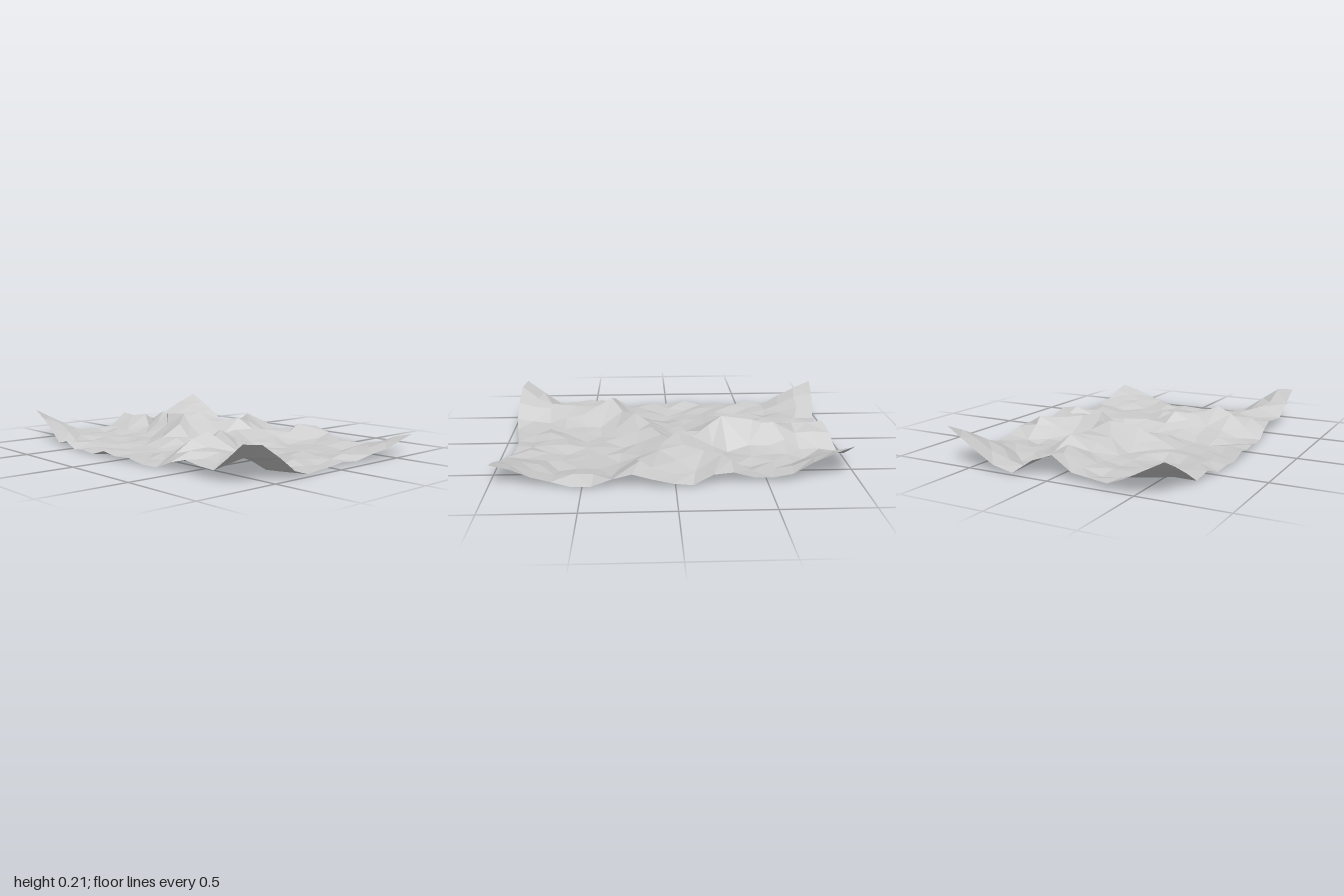
import * as THREE from 'three';

const NX = 12, NZ = 18;

// Crests as polylines: falloff width, then [x, z, height] points
const crests = [
  // main diagonal crest, front left to right edge
  [0.17, [-0.66, 0.55, 0.09], [-0.57, 0.45, 0.11], [-0.47, 0.35, 0.15], [-0.37, 0.37, 0.185], [-0.26, 0.3, 0.13],
    [-0.14, 0.22, 0.155], [0, 0.12, 0.11], [0.14, 0.06, 0.11], [0.28, 0.07, 0.1], [0.45, 0.1, 0.09],
    [0.58, 0.19, 0.12], [0.7, 0.24, 0.1]],
  // spur from the main crest to the front
  [0.17, [-0.37, 0.37, 0.185], [-0.36, 0.48, 0.15], [-0.45, 0.62, 0.11], [-0.5, 0.78, 0.11], [-0.55, 0.97, 0.17]],
  // back crest, running forward
  [0.18, [0.04, -0.94, 0.16], [0.04, -0.74, 0.14], [0.1, -0.62, 0.165], [0.05, -0.5, 0.165], [0.03, -0.31, 0.185],
    [-0.1, -0.2, 0.14], [-0.22, -0.08, 0.08]],
  // second crest, branching to the right
  [0.16, [0.03, -0.31, 0.185], [0.14, -0.17, 0.13], [0.25, -0.03, 0.165], [0.37, -0.06, 0.13], [0.47, -0.17, 0.13],
    [0.56, -0.26, 0.145], [0.7, -0.25, 0.1]],
  // raised corners
  [0.27, [-0.69, 0.97, 0.23], [-0.57, 0.98, 0.21]],
  [0.32, [-0.67, -1, 0.21], [-0.67, -1, 0.21]],
  [0.4, [0.69, -0.97, 0.23], [0.69, -0.97, 0.23]],
  [0.37, [0.665, 1, 0.14], [0.665, 1, 0.14]],
];

function seeded(seed) {
  return () => {
    seed = (seed * 16807) % 2147483647;
    return seed / 2147483647 - 0.5;
  };
}

// Height of the sheet: the highest crest over a gently uneven floor
function heightAt(x, z, floor) {
  let h = floor;
  for (const [width, ...pts] of crests) {
    for (let i = 0; i + 1 < pts.length; i++) {
      const [ax, az, ah] = pts[i], [bx, bz, bh] = pts[i + 1];
      const dx = bx - ax, dz = bz - az;
      const t = THREE.MathUtils.clamp(((x - ax) * dx + (z - az) * dz) / (dx * dx + dz * dz || 1), 0, 1);
      const d = Math.hypot(x - ax - dx * t, z - az - dz * t);
      const top = ah + (bh - ah) * t;
      h = Math.max(h, floor + (top - floor) * Math.max(0, 1 - d / width));
    }
  }
  return h;
}

// Wavy outline of the sheet
const wave = (v, peak, half) => Math.cos(Math.PI * (v - peak) / half);
const leftX = z => -0.69 - 0.03 * wave(z, -0.2, 0.82);
const rightX = z => 0.685 + 0.03 * wave(z, 0.15, 0.82);
const backZ = x => -0.967 + 0.033 * wave(x, -0.12, 0.53);
const frontZ = x => 0.962 - 0.033 * wave(x, 0.12, 0.53);

function sheetGeometry() {
  const rand = seeded(4711);
  const verts = [];
  for (let j = 0; j <= NZ; j++) {
    for (let i = 0; i <= NX; i++) {
      const inner = i > 0 && i < NX && j > 0 && j < NZ;
      const u = i / NX, v = j / NZ;
      const x0 = -0.685 + 1.37 * u;
      const z = THREE.MathUtils.lerp(backZ(x0), frontZ(x0), v) + (inner ? rand() * 0.03 : 0);
      const x = THREE.MathUtils.lerp(leftX(z), rightX(z), u) + (inner ? rand() * 0.03 : 0);
      verts.push({ x, z, inner, floor: 0.033 + rand() * 0.036 });
    }
  }

  // Pull the nearest free vertex onto each crest point so crests stay sharp
  for (const [, ...pts] of crests) {
    for (const [x, z] of pts) {
      let best = null, bestD = 0.085;
      for (const p of verts) {
        const d = Math.hypot(p.x - x, p.z - z);
        if (p.inner && d < bestD) { best = p; bestD = d; }
      }
      if (best) Object.assign(best, { x, z, inner: false });
    }
  }
  const points = verts.map(p => new THREE.Vector3(p.x, heightAt(p.x, p.z, p.floor), p.z));

  // Split each cell along the diagonal with the smaller height change
  const index = [];
  for (let j = 0; j < NZ; j++) {
    for (let i = 0; i < NX; i++) {
      const a = j * (NX + 1) + i, b = a + 1, c = a + NX + 1, d = c + 1;
      if (Math.abs(points[a].y - points[d].y) < Math.abs(points[b].y - points[c].y)) index.push(a, c, d, a, d, b);
      else index.push(a, c, b, b, c, d);
    }
  }
  const geo = new THREE.BufferGeometry().setFromPoints(points);
  geo.setIndex(index);
  const flat = geo.toNonIndexed();
  flat.computeVertexNormals();
  return flat;
}

export function createModel() {
  const group = new THREE.Group();
  group.name = 'terrain';
  const sheet = new THREE.Mesh(
    sheetGeometry(),
    new THREE.MeshStandardMaterial({ color: 0xcccccc, flatShading: true, side: THREE.DoubleSide })
  );
  sheet.name = 'ridgedGround';
  group.add(sheet);
  return group;
}
